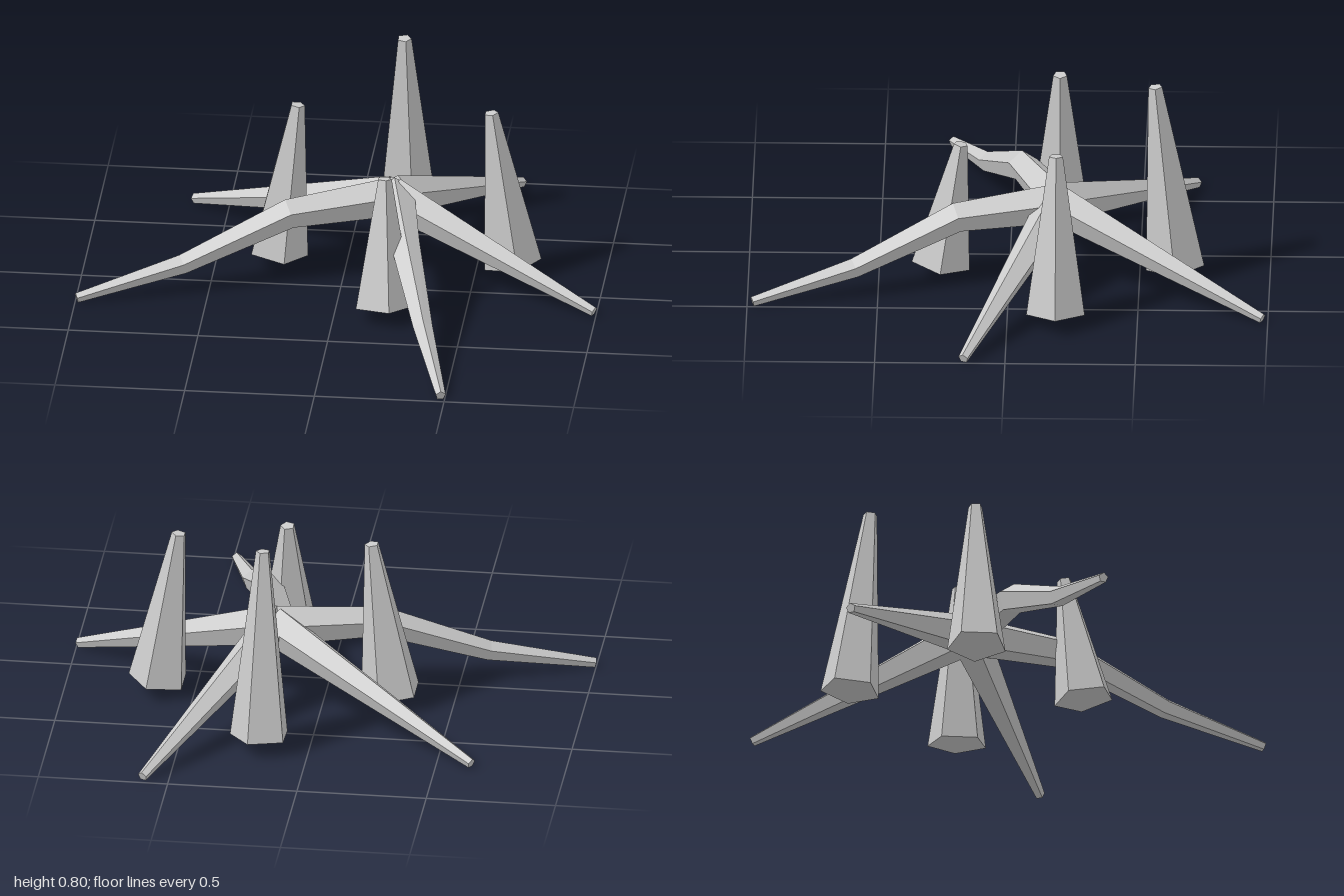
import * as THREE from 'three';

const SIDES = 5;
const HUB = new THREE.Vector3(0.187, 0.312, -0.187);
const UP = new THREE.Vector3(0, 1, 0);
const material = new THREE.MeshStandardMaterial({ color: 0xcccccc, flatShading: true });

// Tapered five-sided limb swept through a few points, ridge upward, closed at both ends
function limbGeometry(path, radii) {
  const positions = [];
  const index = [];
  const last = path.length - 1;
  path.forEach((p, k) => {
    const into = path[k].clone().sub(path[Math.max(k - 1, 0)]).normalize();
    const out = path[Math.min(k + 1, last)].clone().sub(path[k]).normalize();
    const tangent = into.add(out).normalize();
    const side = tangent.clone().cross(UP).normalize();
    const up = side.clone().cross(tangent);
    for (let i = 0; i < SIDES; i++) {
      const a = (i / SIDES) * Math.PI * 2;
      const v = p.clone()
        .addScaledVector(up, Math.cos(a) * radii[k])
        .addScaledVector(side, Math.sin(a) * radii[k]);
      positions.push(v.x, v.y, v.z);
    }
  });
  for (let k = 0; k < last; k++) {
    for (let i = 0; i < SIDES; i++) {
      const a = k * SIDES + i;
      const b = k * SIDES + (i + 1) % SIDES;
      index.push(a, b, b + SIDES, a, b + SIDES, a + SIDES);
    }
  }
  const end = last * SIDES;
  for (let i = 1; i < SIDES - 1; i++) {
    index.push(0, i + 1, i, end, end + i, end + i + 1);
  }
  const indexed = new THREE.BufferGeometry();
  indexed.setAttribute('position', new THREE.Float32BufferAttribute(positions, 3));
  indexed.setIndex(index);
  const geometry = indexed.toNonIndexed();
  geometry.computeVertexNormals();
  return geometry;
}

// Limb from the hub to a tip on the ground; bend shifts the inner knee sideways in x
function makeLimb({ name, tip, knee, bend = 0 }) {
  const at = (t, y, dx = 0) => new THREE.Vector3(
    THREE.MathUtils.lerp(HUB.x, tip[0], t) + dx, y,
    THREE.MathUtils.lerp(HUB.z, tip[1], t));
  const path = [HUB, at(1 / 3, knee, bend), at(2 / 3, 0.118, bend / 2), at(1, 0.021)];
  const mesh = new THREE.Mesh(limbGeometry(path, [0.08, 0.06, 0.04, 0.02]), material);
  mesh.name = name;
  return mesh;
}

// Free-standing tapered spire leaning towards the hub
function makeSpire({ name, dir, top }) {
  const foot = new THREE.Vector3(HUB.x + dir[0] * 0.45, 0.057, HUB.z + dir[1] * 0.45);
  const head = new THREE.Vector3(HUB.x + dir[0] * 0.373, top, HUB.z + dir[1] * 0.373);
  const axis = head.clone().sub(foot);
  const geometry = new THREE.CylinderGeometry(
    0.028, 0.118, axis.length(), SIDES, 1, false, Math.PI / 2);
  const mesh = new THREE.Mesh(geometry, material);
  mesh.position.copy(foot).add(head).multiplyScalar(0.5);
  mesh.quaternion.setFromUnitVectors(UP, axis.normalize());
  mesh.name = name;
  return mesh;
}

export function createModel() {
  const model = new THREE.Group();
  model.name = 'rootsAndSpires';

  const limbs = [
    { name: 'backLeftLimb', tip: [0.6, -0.98], knee: 0.215 },
    { name: 'backRightLimb', tip: [-0.637, -0.705], knee: 0.215 },
    { name: 'rightLimb', tip: [-0.995, 0.238], knee: 0.285 },
    { name: 'frontLimb', tip: [0.485, 0.98], knee: 0.285, bend: -0.02 },
    { name: 'leftLimb', tip: [0.993, 0.16], knee: 0.215 },
  ];
  limbs.forEach((limb) => model.add(makeLimb(limb)));

  const spires = [
    { name: 'backSpire', dir: [0, -1], top: 0.805 },
    { name: 'leftSpire', dir: [1, 0], top: 0.68 },
    { name: 'rightSpire', dir: [-1, 0], top: 0.68 },
    { name: 'frontSpire', dir: [0, 1], top: 0.556 },
  ];
  spires.forEach((spire) => model.add(makeSpire(spire)));

  return model;
}
